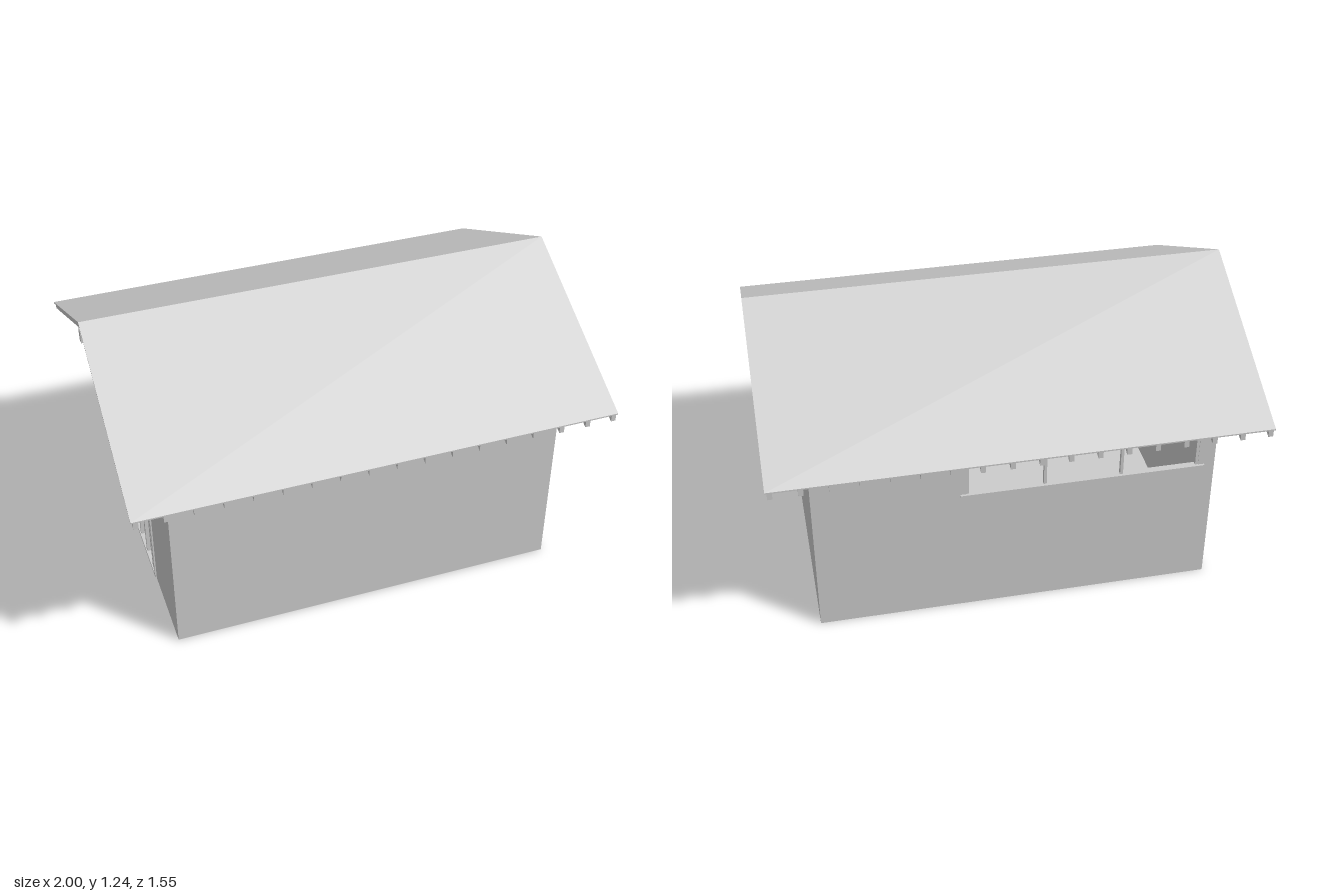
import * as THREE from 'three';

export function createModel() {
  const group = new THREE.Group();
  const grey = new THREE.MeshStandardMaterial({ color: 0xcccccc });
  grey.name = 'light grey';

  const add = (geometry, name) => {
    const mesh = new THREE.Mesh(geometry, grey);
    mesh.name = name;
    group.add(mesh);
    return mesh;
  };
  // box given by its min and max corners
  const box = (name, x0, x1, y0, y1, z0, z1) =>
    add(new THREE.BoxGeometry(x1 - x0, y1 - y0, z1 - z0), name)
      .position.set((x0 + x1) / 2, (y0 + y1) / 2, (z0 + z1) / 2);
  const outline = (pts) => pts.map(([a, b]) => new THREE.Vector2(a, b));
  const plate = (pts, depth, hole) => {
    const shape = new THREE.Shape(outline(pts));
    if (hole) shape.holes.push(new THREE.Path(outline(hole)));
    return new THREE.ExtrudeGeometry(shape, { depth, bevelEnabled: false });
  };
  // profile in (-z, y) swept along x
  const alongX = (name, pts, x, depth) =>
    add(plate(pts, depth).rotateY(Math.PI / 2), name).position.x = x;

  const W = 0.83, D = 0.605, T = 0.02, SLOPE = 0.5, EAVE = 0.775;
  const RIDGE = 1.237, UNDER = 1.203, SKIN = 0.006;
  const under = (z) => UNDER - SLOPE * Math.abs(z);

  // floor slab, slightly above the foot of the walls
  box('floor', -W + T, W - T, 0.004, 0.012, -D + T, D - T);

  // gable walls, the right one with a doorway
  const door = { z0: -0.465, z1: 0.217, top: 0.435 };
  const gable = [[D, under(D)], [0, UNDER], [-D, under(D)]];
  alongX('leftGableWall', [[-D, 0], [D, 0], ...gable], W - T, T);
  alongX('rightGableWall', [
    [-D, 0], [-door.z1, 0], [-door.z1, door.top], [-door.z0, door.top], [-door.z0, 0], [D, 0], ...gable,
  ], -W, T);

  // long walls, the back one with a window opening
  const win = { x0: -0.76, x1: 0.21, y0: 0.585, y1: 0.75 };
  const L = W - T, wallTop = under(D);
  const longWall = [[-L, 0], [L, 0], [L, wallTop], [-L, wallTop]];
  add(plate(longWall, T), 'frontWall').position.z = D - T;
  add(plate(longWall, T, [
    [win.x0, win.y0], [win.x0, win.y1], [win.x1, win.y1], [win.x1, win.y0],
  ]), 'backWall').position.z = -D;

  // window sill, head and mullions
  box('windowSill', win.x0 - 0.025, win.x1 + 0.025, win.y0 - 0.01, win.y0, -D - 0.01, -D + T);
  box('windowHead', win.x0, win.x1, win.y1 - 0.008, win.y1, -D - 0.002, -D + T);
  for (let i = 0; i <= 3; i++) {
    const x = win.x0 + 0.006 + (win.x1 - win.x0 - 0.012) * i / 3;
    box('windowMullion', x - 0.006, x + 0.006, win.y0, win.y1, -D + 0.002, -D + T - 0.002);
  }

  // door: recessed panel, battens and frame
  box('doorPanel', -W + 0.014, -W + T, 0.006, door.top, door.z0, door.z1);
  for (let i = 0; i <= 5; i++) {
    const z = door.z0 + 0.045 + (door.z1 - door.z0 - 0.09) * i / 5;
    box('doorBatten', -W - 0.002, -W + 0.014, 0.015, door.top - 0.01, z - 0.008, z + 0.008);
  }
  box('doorHead', -W - 0.006, -W + 0.014, door.top - 0.012, door.top + 0.006, door.z0 - 0.01, door.z1 + 0.01);
  box('doorThreshold', -W - 0.006, -W + 0.014, 0.004, 0.016, door.z0, door.z1);
  for (const z of [door.z0, door.z1]) {
    box('doorJamb', -W - 0.006, -W + 0.014, 0.004, door.top, z - 0.007, z + 0.007);
  }

  // inner studs against the left gable
  for (let i = 0; i <= 10; i++) {
    const z = -0.57 + 0.114 * i;
    box('wallStud', W - T - 0.025, W - T, 0.012, 0.88, z - 0.009, z + 0.009);
  }

  // roof: thin skin over evenly spaced rafters and a ridge beam
  const chevron = (top, bottom) => [
    [-EAVE, bottom - SLOPE * EAVE], [0, bottom], [EAVE, bottom - SLOPE * EAVE],
    [EAVE, top - SLOPE * EAVE], [0, top], [-EAVE, top - SLOPE * EAVE],
  ];
  alongX('roofSkin', chevron(RIDGE, RIDGE - SKIN), -1, 2);
  for (let i = 0; i < 18; i++) {
    alongX('rafter', chevron(RIDGE - SKIN, UNDER), -0.992 + (1.964 / 17) * i, 0.02);
  }
  box('ridgeBeam', -1, 1, 1.147, 1.205, -0.016, 0.016);

  return group;
}
